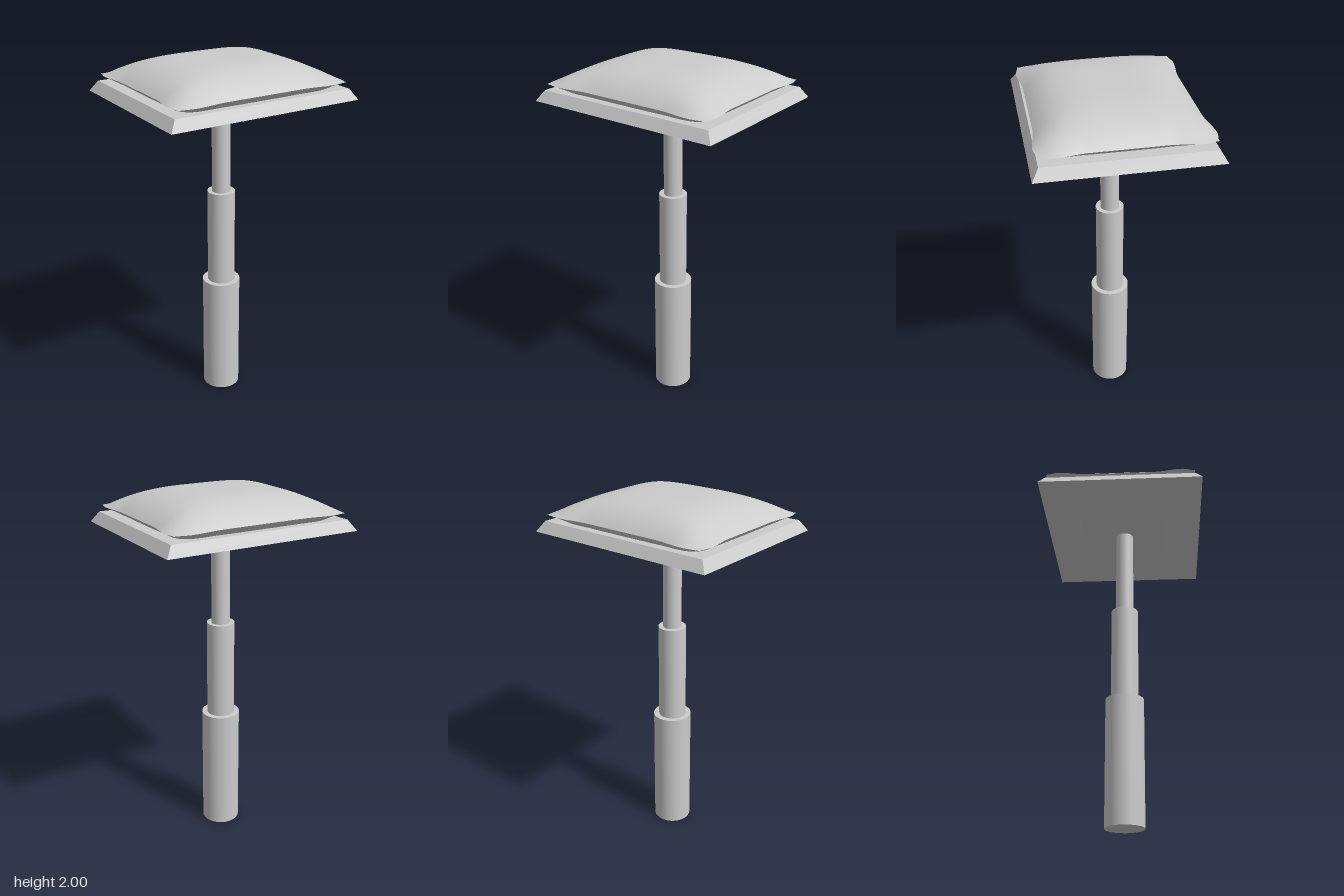
import * as THREE from 'three';

const material = new THREE.MeshStandardMaterial({ color: 0xcccccc });

function addMesh(group, name, geometry, y = 0) {
  const mesh = new THREE.Mesh(geometry, material);
  mesh.name = name;
  mesh.position.y = y;
  group.add(mesh);
}

// Outward flare of the cushion outline towards its corners
function flare(t) {
  const s = THREE.MathUtils.smoothstep;
  return 0.02 * (s(Math.abs(t), 0.45, 0.83) - 0.7 * s(Math.abs(t), 0.83, 1));
}

// One half of the cushion: side 1 is the top, -1 the underside
function cushionHalf(side) {
  const geometry = new THREE.PlaneGeometry(2, 2, 48, 48);
  geometry.rotateX(-side * Math.PI / 2);
  const p = geometry.attributes.position;
  const bulge = (t) => 1 - Math.abs(t) ** 4;
  for (let i = 0; i < p.count; i++) {
    const u = p.getX(i), v = p.getZ(i);
    p.setXYZ(i,
      u * (0.485 + flare(v)),
      side * 0.111 * bulge(u) * bulge(v),
      v * (0.412 + flare(u)));
  }
  geometry.computeVertexNormals();
  return geometry;
}

// Seat plate with sloping sides
function plateGeometry() {
  const geometry = new THREE.BoxGeometry(2, 0.056, 2);
  const p = geometry.attributes.position;
  for (let i = 0; i < p.count; i++) {
    const top = p.getY(i) > 0;
    p.setX(i, p.getX(i) * (top ? 0.51 : 0.548));
    p.setZ(i, p.getZ(i) * (top ? 0.42 : 0.455));
  }
  geometry.computeVertexNormals();
  return geometry;
}

export function createModel() {
  const model = new THREE.Group();
  model.name = 'stool';

  // Telescopic column: name, radius, bottom, top
  const tubes = [
    ['lowerColumn', 0.107, 0, 0.71],
    ['middleColumn', 0.077, 0.7, 1.26],
    ['upperColumn', 0.051, 1.25, 1.82],
  ];
  for (const [name, radius, y0, y1] of tubes) {
    addMesh(model, name, new THREE.CylinderGeometry(radius, radius, y1 - y0, 48), (y0 + y1) / 2);
  }

  addMesh(model, 'seatPlate', plateGeometry(), 1.826);

  // Pillow-shaped cushion, sunk through the plate
  const cushion = new THREE.Group();
  cushion.name = 'cushion';
  cushion.position.y = 1.889;
  addMesh(cushion, 'cushionTop', cushionHalf(1));
  addMesh(cushion, 'cushionUnderside', cushionHalf(-1));
  model.add(cushion);

  return model;
}
